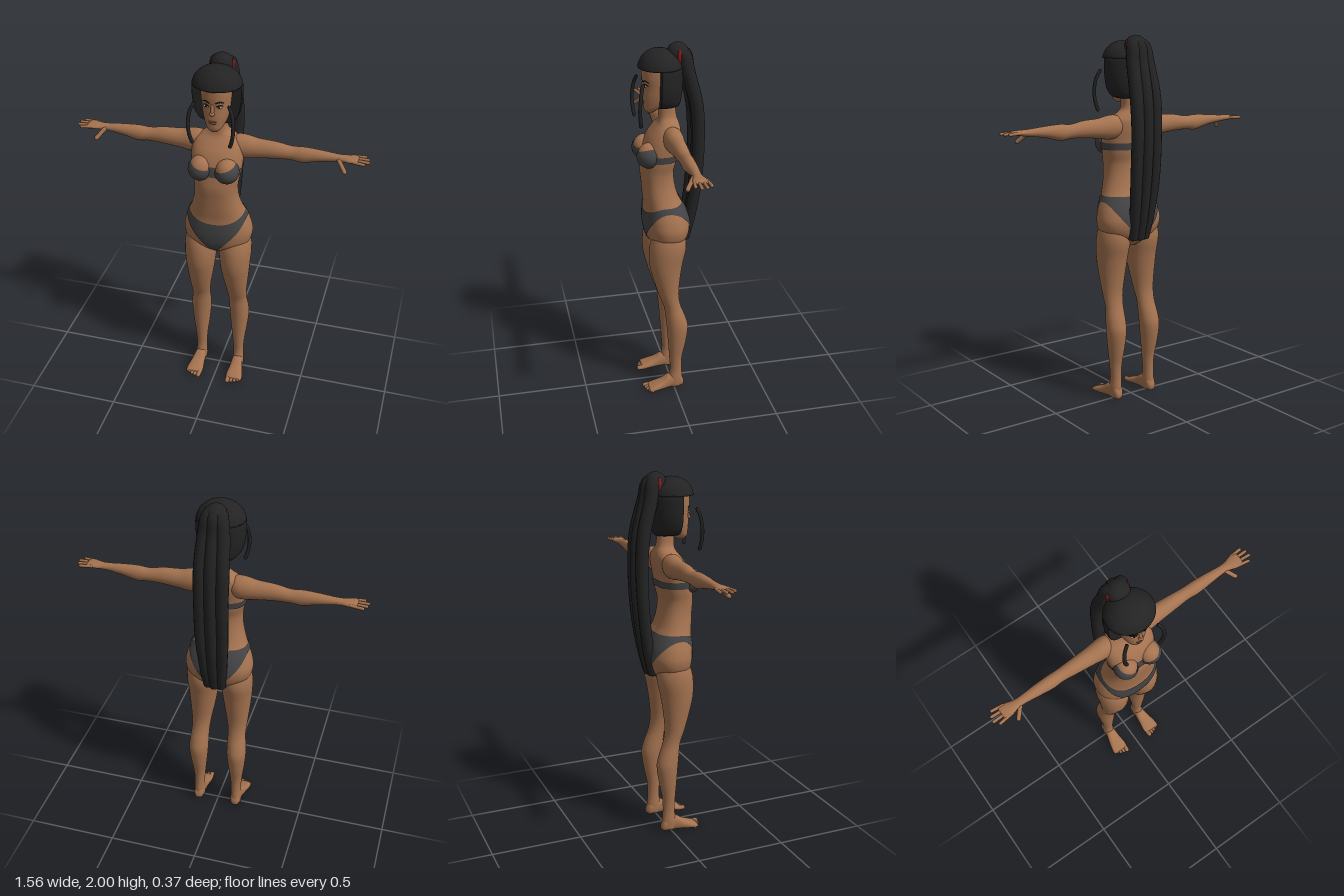
import * as THREE from 'three';

const mat = (name, color, double) => {
  const m = new THREE.MeshStandardMaterial({ color });
  m.name = name;
  if (double) m.side = THREE.DoubleSide;
  return m;
};

// Smooth value of every column of a row table at position s (first column).
function sample(rows, s) {
  let i = 0;
  while (i < rows.length - 2 && s > rows[i + 1][0]) i++;
  const slope = (k, c) => {
    const a = rows[Math.max(k - 1, 0)], b = rows[Math.min(k + 1, rows.length - 1)];
    return (b[c] - a[c]) / (b[0] - a[0]);
  };
  const p = rows[i], q = rows[i + 1], h = q[0] - p[0];
  const t = THREE.MathUtils.clamp((s - p[0]) / h, 0, 1), t2 = t * t, t3 = t2 * t;
  return p.map((v, c) => (2 * t3 - 3 * t2 + 1) * v + (t3 - 2 * t2 + t) * h * slope(i, c)
    + (3 * t2 - 2 * t3) * q[c] + (t3 - t2) * h * slope(i + 1, c));
}

// Closed-around surface from fn(u, t); optional end caps.
function surface(fn, nu, nt, caps) {
  const pos = [], idx = [];
  for (let i = 0; i <= nt; i++)
    for (let j = 0; j < nu; j++) pos.push(...fn(j / nu * Math.PI * 2, i / nt));
  for (let i = 0; i < nt; i++)
    for (let j = 0; j < nu; j++) {
      const k = (j + 1) % nu, a = i * nu + j, b = a + nu, c = i * nu + k, d = c + nu;
      idx.push(a, b, c, c, b, d);
    }
  if (caps) for (const i of [0, nt]) {
    const mid = [0, 0, 0], n = pos.length / 3;
    for (let j = 0; j < nu; j++) for (let k = 0; k < 3; k++) mid[k] += pos[(i * nu + j) * 3 + k] / nu;
    pos.push(...mid);
    for (let j = 0; j < nu; j++) {
      const a = i * nu + j, b = i * nu + (j + 1) % nu;
      if (i) idx.push(a, n, b); else idx.push(a, b, n);
    }
  }
  const g = new THREE.BufferGeometry();
  g.setAttribute('position', new THREE.Float32BufferAttribute(pos, 3));
  g.setIndex(idx);
  g.computeVertexNormals();
  return g;
}

const pw = (v, p) => Math.sign(v) * Math.abs(v) ** p;

// Limb along an axis; rows are [position, min, max, min, max] of the other two axes.
function loft(rows, axis, nu = 24, nt = 48, p = 1) {
  const s0 = rows[0][0], s1 = rows[rows.length - 1][0];
  return surface((u, t) => {
    const [s, a0, a1, b0, b1] = sample(rows, s0 + (s1 - s0) * t);
    const first = axis === 'y' ? Math.cos(u) : Math.sin(u), second = axis === 'y' ? Math.sin(u) : Math.cos(u);
    const a = (a0 + a1) / 2 + (a1 - a0) / 2 * pw(first, p), b = (b0 + b1) / 2 + (b1 - b0) / 2 * pw(second, p);
    return axis === 'y' ? [a, s, b] : axis === 'x' ? [s, a, b] : [a, b, s];
  }, nu, nt, true);
}
const symmetric = rows => rows.map(([y, w, b, f]) => [y, -w, w, b, f]);

// Torso and neck: [height, half width, back, front]
const torsoRows = [[.87, .03, -.03, .06], [.9, .1, -.06, .1], [.94, .165, -.085, .13], [1, .188, -.1, .143],
  [1.06, .18, -.092, .145], [1.12, .158, -.07, .143], [1.18, .135, -.04, .148], [1.25, .118, -.022, .154],
  [1.32, .116, -.017, .16], [1.38, .127, -.03, .155], [1.45, .136, -.04, .145], [1.51, .135, -.05, .122],
  [1.555, .122, -.052, .09], [1.585, .085, -.045, .067], [1.61, .052, -.036, .06], [1.66, .043, -.03, .06],
  [1.74, .043, -.03, .06]];

function torsoPoint(u, y, grow = 0) {
  const [, w, b, f] = sample(torsoRows, y);
  const x = (w + grow) * pw(Math.cos(u), .88);
  let z = (b + f) / 2 + ((f - b) / 2 + grow) * pw(Math.sin(u), .88);
  // cleft at the back of the hips and a shallow spine groove
  if (Math.sin(u) < 0) {
    const hip = Math.exp(-(((y - .97) / .06) ** 2)) * .028, spine = y > 1.1 && y < 1.55 ? .006 : 0;
    z += (hip + spine) * Math.exp(-((x / .025) ** 2));
  }
  return [x, y, z];
}
// Thin cloth lying on the torso between two heights that vary around the body
const wrap = (bottom, top) => surface((u, t) => {
  const b = bottom(u);
  return torsoPoint(u, b + (top(u) - b) * t, .005);
}, 96, 14);

function mirrored(g) {
  const m = g.clone().scale(-1, 1, 1), a = m.index.array;
  for (let i = 0; i < a.length; i += 3) [a[i], a[i + 1]] = [a[i + 1], a[i]];
  return m;
}
const ball = (x, y, z, rx, ry, rz) => new THREE.SphereGeometry(1, 24, 16).scale(rx, ry, rz).translate(x, y, z);

// Tube whose radius runs from r0 to r1, with rounded ends
function strand(points, r0, r1, seg = 40) {
  const path = new THREE.CatmullRomCurve3(points.map(p => new THREE.Vector3(...p)));
  const g = new THREE.TubeGeometry(path, seg, 1, 14), p = g.attributes.position, v = new THREE.Vector3();
  for (let i = 0; i < p.count; i++) {
    const t = Math.floor(i / 15) / seg, c = path.getPointAt(t);
    const end = Math.sqrt(Math.max(0, 1 - Math.max(0, (Math.abs(t - .5) - .48) / .02) ** 2));
    v.fromBufferAttribute(p, i).sub(c).multiplyScalar((r0 + (r1 - r0) * t) * end).add(c);
    p.setXYZ(i, v.x, v.y, v.z);
  }
  return g;
}
function digit(a, b, r) {
  const A = new THREE.Vector3(...a), B = new THREE.Vector3(...b), d = B.clone().sub(A);
  const q = new THREE.Quaternion().setFromUnitVectors(new THREE.Vector3(0, 1, 0), d.clone().normalize());
  const c = A.add(B).multiplyScalar(.5);
  return new THREE.CapsuleGeometry(r, d.length(), 5, 10).applyQuaternion(q).translate(c.x, c.y, c.z);
}

export function createModel() {
  const model = new THREE.Group();
  model.name = 'figure';
  const skin = mat('skin', 0xa57350), hair = mat('hair', 0x232323), cloth = mat('cloth', 0x444446, true);
  const red = mat('hairTieRed', 0x8c1a1a), lip = mat('lips', 0x85523c);
  const white = mat('eyeWhite', 0xd8d0c8), dark = mat('browAndIris', 0x1d1613);
  const add = (name, g, m) => {
    const mesh = new THREE.Mesh(g, m);
    mesh.name = name;
    model.add(mesh);
  };
  const both = (name, g, m) => {
    add(name + 'Left', g, m);
    add(name + 'Right', mirrored(g), m);
  };

  // Body
  add('torso', surface((u, t) => torsoPoint(u, .87 + .87 * t), 64, 110, true), skin);
  both('leg', loft([[.01, .084, .143, -.05, .035], [.06, .082, .145, -.05, .033], [.12, .083, .142, -.045, .022],
    [.2, .078, .147, -.048, .026], [.3, .067, .16, -.068, .033], [.4, .058, .169, -.08, .04],
    [.46, .057, .166, -.066, .046], [.53, .056, .159, -.04, .055], [.6, .048, .163, -.028, .08],
    [.7, .03, .173, -.035, .11], [.8, .015, .182, -.05, .133], [.9, .007, .187, -.07, .132],
    [.97, .02, .176, -.06, .112], [1.04, .05, .14, -.03, .08]], 'y', 32, 70), skin);
  both('foot', loft([[-.056, .1, .13, .012, .04], [-.04, .086, .14, 0, .075], [.02, .082, .145, 0, .09],
    [.07, .078, .157, 0, .06], [.12, .072, .168, 0, .038], [.15, .076, .167, .002, .026]], 'z', 24, 30, .85), skin);
  [.087, .109, .128, .145, .159].forEach((x, i) => both('toe' + (i + 1),
    digit([x, .014, .13], [x + .002, .012, .167 - i * i * .0022], i ? .0095 : .0135), skin));

  // Arms and hands
  both('arm', loft([[.04, 1.5, 1.56, -.02, .04], [.1, 1.462, 1.584, -.045, .06], [.15, 1.457, 1.583, -.045, .058],
    [.2, 1.465, 1.572, -.04, .052], [.3, 1.475, 1.565, -.033, .044], [.38, 1.478, 1.552, -.03, .036],
    [.44, 1.472, 1.556, -.03, .038], [.52, 1.49, 1.552, -.025, .034], [.6, 1.503, 1.545, -.018, .028],
    [.64, 1.507, 1.542, -.019, .031], [.68, 1.512, 1.541, -.03, .044], [.71, 1.516, 1.539, -.032, .047],
    [.722, 1.521, 1.535, -.028, .042]], 'x', 28, 70), skin);
  [[-.025, .752, -.032], [-.004, .768, -.007], [.017, .772, .02], [.037, .75, .045]].forEach(([z, x, tip], i) =>
    both('finger' + (i + 1), digit([.69, 1.528, z], [x, 1.526, tip], .0085), skin));
  both('thumb', digit([.625, 1.52, .025], [.662, 1.478, .06], .0115), skin);

  // Head and face
  const headRows = symmetric([[1.642, .018, .085, .122], [1.66, .038, .055, .136], [1.69, .055, 0, .14],
    [1.73, .067, -.03, .142], [1.78, .075, -.045, .14], [1.84, .08, -.05, .146], [1.9, .075, -.04, .14],
    [1.94, .05, 0, .1]]);
  const faceZ = (x, y) => {
    const [, , w, b, f] = sample(headRows, y);
    return (b + f) / 2 + (f - b) / 2 * (1 - Math.abs(x / w) ** 2.2) ** .45;
  };
  add('head', loft(headRows, 'y', 40, 48, .9), skin);
  add('noseBridge', digit([0, 1.8, .136], [0, 1.762, .146], .0085), skin);
  add('noseTip', ball(0, 1.755, .147, .014, .0095, .014), skin);
  add('upperLip', ball(0, 1.708, .14, .021, .005, .006), lip);
  add('lowerLip', ball(0, 1.699, .139, .018, .006, .007), lip);
  const z = faceZ(.034, 1.79);
  both('eye', ball(.034, 1.789, z - .001, .015, .0065, .005), white);
  both('iris', ball(.034, 1.789, z + .002, .006, .006, .0035), dark);
  both('lash', strand([[.017, 1.791, faceZ(.017, 1.79)], [.033, 1.798, z + .002],
    [.051, 1.793, faceZ(.051, 1.79)]], .0025, .003, 12), dark);
  both('brow', strand([[.014, 1.81, faceZ(.014, 1.81)], [.036, 1.818, faceZ(.036, 1.818)],
    [.056, 1.81, faceZ(.056, 1.81)]], .004, .0025, 12), dark);

  // Bikini
  const k = u => Math.abs(Math.cos(u));
  add('briefs', wrap(u => .883 + .235 * k(u) ** .8, u => Math.sin(u) > 0 ? 1.098 + .05 * k(u) ** 2 : 1.148), cloth);
  add('topBand', wrap(u => 1.395, u => 1.433 + .018 * Math.max(0, Math.sin(u)) ** 3), cloth);
  both('bust', ball(.07, 1.432, .123, .059, .064, .061), skin);
  const cup = new THREE.SphereGeometry(1, 32, 20, 0, Math.PI * 2, Math.PI * .34, Math.PI * .66)
    .scale(.064, .066, .067).rotateZ(.3).rotateX(.12).translate(.071, 1.426, .124);
  both('cup', cup, cloth);

  // Hair: crown, flat-fronted back half, knot, tail and loose front locks
  const hairRows = symmetric([[1.668, .05, -.04, .1], [1.68, .085, -.052, .13], [1.72, .113, -.06, .16],
    [1.78, .126, -.066, .165], [1.84, .13, -.068, .167], [1.88, .128, -.066, .165], [1.92, .112, -.05, .15],
    [1.95, .082, -.02, .124], [1.966, .05, .01, .095], [1.972, .015, .035, .065]]);
  const hairPart = (y0, y1, limit) => {
    const g = surface((u, t) => {
      const [y, , w, b, f] = sample(hairRows, y0 + (y1 - y0) * t);
      return [w * Math.cos(u), y, Math.min(limit, (b + f) / 2 + (f - b) / 2 * Math.sin(u))];
    }, 48, 24, true);
    return g;
  };
  add('hairCrown', hairPart(1.88, 1.972, 1), hair);
  add('hairBack', hairPart(1.668, 1.885, .065), hair);
  add('hairKnot', ball(0, 1.943, -.042, .06, .057, .058), hair);
  both('hairTie', ball(.056, 1.94, -.042, .008, .036, .012), red);
  const tail = [[1.955, -.045], [1.94, -.075], [1.86, -.093], [1.68, -.138], [1.5, -.15], [1.25, -.138],
    [1.05, -.11], [.9, -.075]];
  [-1, 0, 1].forEach(s => add('tailStrand' + (s + 2), strand(tail.map(([y, d], i) =>
    [s * (.02 + .038 * Math.min(1, i / 3) - (i > 5 ? .012 * (i - 5) : 0)), y, d + Math.abs(s) * .008]),
  .038, .029, 60), hair));
  both('frontLock', strand([[.085, 1.818, .155], [.108, 1.77, .168], [.116, 1.7, .177], [.11, 1.64, .175],
    [.095, 1.588, .168]], .009, .01, 30), hair);
  return model;
}
